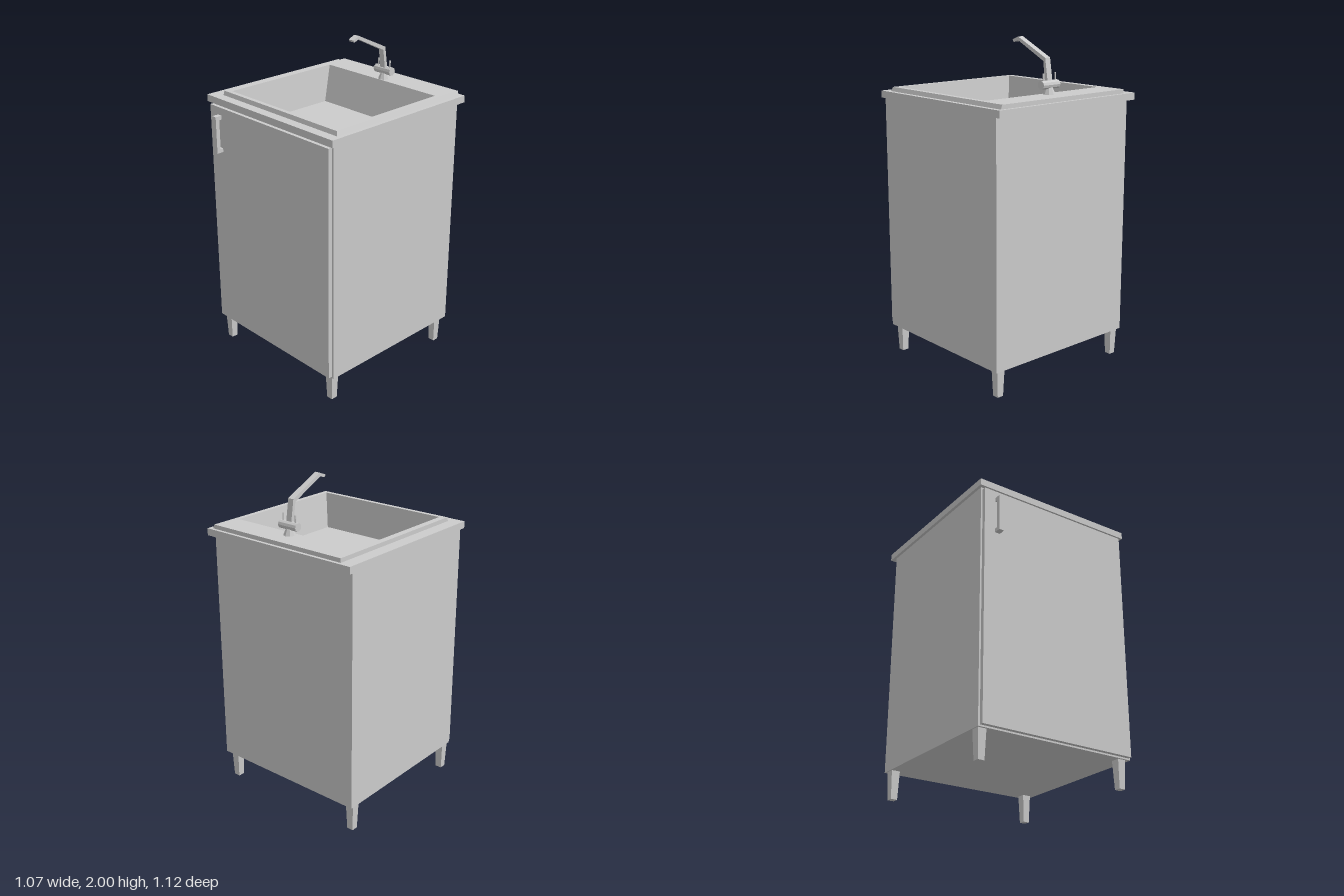
import * as THREE from 'three';

const material = new THREE.MeshStandardMaterial({ color: 0xcccccc, flatShading: true, side: THREE.DoubleSide });

function add(parent, name, geometry) {
  const mesh = new THREE.Mesh(geometry, material);
  mesh.name = name;
  parent.add(mesh);
  return mesh;
}

// Box given by its extents
function box(x0, x1, y0, y1, z0, z1) {
  return new THREE.BoxGeometry(x1 - x0, y1 - y0, z1 - z0)
    .translate((x0 + x1) / 2, (y0 + y1) / 2, (z0 + z1) / 2);
}

// Corners of a horizontal rectangle, counter-clockwise from above
const corners = ([x0, x1, z0, z1]) => [[x0, z1], [x1, z1], [x1, z0], [x0, z0]];
const vectors = (points) => points.map(([a, b]) => new THREE.Vector2(a, b));

// Rectangular frame with a rectangular opening
function frame(outer, inner, y0, y1) {
  const shape = new THREE.Shape(vectors(corners(outer)));
  shape.holes.push(new THREE.Path(vectors(corners(inner))));
  return new THREE.ExtrudeGeometry(shape, { depth: y1 - y0, bevelEnabled: false })
    .rotateX(Math.PI / 2).translate(0, y1, 0);
}

// Side profile of [z, y] points given a width along x
function sideProfile(points, x0, x1) {
  return new THREE.ExtrudeGeometry(new THREE.Shape(vectors(points)), { depth: x1 - x0, bevelEnabled: false })
    .rotateY(-Math.PI / 2).translate(x1, 0, 0);
}

// Skin through rectangular rings, closed by the last ring
function rectLoft(rings) {
  const loops = rings.map(([y, ...r]) => corners(r).map(([x, z]) => [x, y, z]));
  const pos = [];
  const quad = (a, b, c, d) => pos.push(...a, ...b, ...c, ...a, ...c, ...d);
  for (let k = 0; k < loops.length - 1; k++) {
    for (let i = 0; i < 4; i++) {
      const j = (i + 1) % 4;
      quad(loops[k][i], loops[k][j], loops[k + 1][j], loops[k + 1][i]);
    }
  }
  quad(...loops[loops.length - 1]);
  const g = new THREE.BufferGeometry();
  g.setAttribute('position', new THREE.Float32BufferAttribute(pos, 3));
  g.computeVertexNormals();
  return g;
}

export function createModel() {
  const model = new THREE.Group();
  model.name = 'sinkCabinet';

  // Cabinet carcass, hollow behind the door
  const cabinet = new THREE.Group();
  cabinet.name = 'cabinet';
  model.add(cabinet);
  add(cabinet, 'cabinetWalls', frame([-0.516, 0.516, -0.515, 0.492], [-0.49, 0.49, -0.49, 0.47], 0.17, 1.623));
  add(cabinet, 'cabinetFloor', box(-0.49, 0.49, 0.17, 0.195, -0.49, 0.47));
  add(cabinet, 'door', box(-0.505, 0.503, 0.18, 1.612, 0.492, 0.517));

  // Bracket handle
  add(cabinet, 'doorHandle', sideProfile([
    [0.517, 1.337], [0.56, 1.337], [0.56, 1.565], [0.517, 1.565],
    [0.517, 1.541], [0.535, 1.541], [0.535, 1.361], [0.517, 1.361],
  ], -0.434, -0.402));

  // Tapered square legs
  for (const x of [-0.482, 0.463]) {
    for (const z of [0.453, -0.466]) {
      const leg = new THREE.CylinderGeometry(0.0375, 0.0285, 0.17, 4).rotateY(Math.PI / 4);
      add(model, 'leg', leg).position.set(x, 0.085, z);
    }
  }

  // Worktop with cut-out, and the inset basin
  add(model, 'worktop', frame([-0.533, 0.533, -0.56, 0.515], [-0.43, 0.48, -0.385, 0.435], 1.623, 1.665));
  add(model, 'sinkBasin', rectLoft([
    [1.665, -0.455, 0.505, -0.54, 0.455],
    [1.69, -0.455, 0.495, -0.54, 0.447],
    [1.69, -0.415, 0.465, -0.37, 0.42],
    [1.47, -0.385, 0.433, -0.30, 0.395],
  ]));

  // Mixer tap
  const tap = new THREE.Group();
  tap.name = 'tap';
  model.add(tap);
  const tx = 0.025, tz = -0.408;
  add(tap, 'tapBase', new THREE.CylinderGeometry(0.016, 0.037, 0.05, 8)).position.set(tx, 1.713, tz);
  add(tap, 'tapBody', new THREE.CylinderGeometry(0.025, 0.025, 0.13, 10).rotateZ(Math.PI / 2))
    .position.set(tx, 1.745, tz);
  for (const side of [-1, 1]) {
    add(tap, 'tapLever', new THREE.CylinderGeometry(0.005, 0.005, 0.06, 6))
      .position.set(tx + side * 0.046, 1.78, tz);
  }
  add(tap, 'tapSpout', sideProfile([
    [-0.416, 1.75], [-0.393, 1.894], [-0.167, 2.0], [-0.12, 1.981],
    [-0.13, 1.967], [-0.165, 1.98], [-0.377, 1.876], [-0.394, 1.75],
  ], 0.006, 0.044));

  return model;
}
